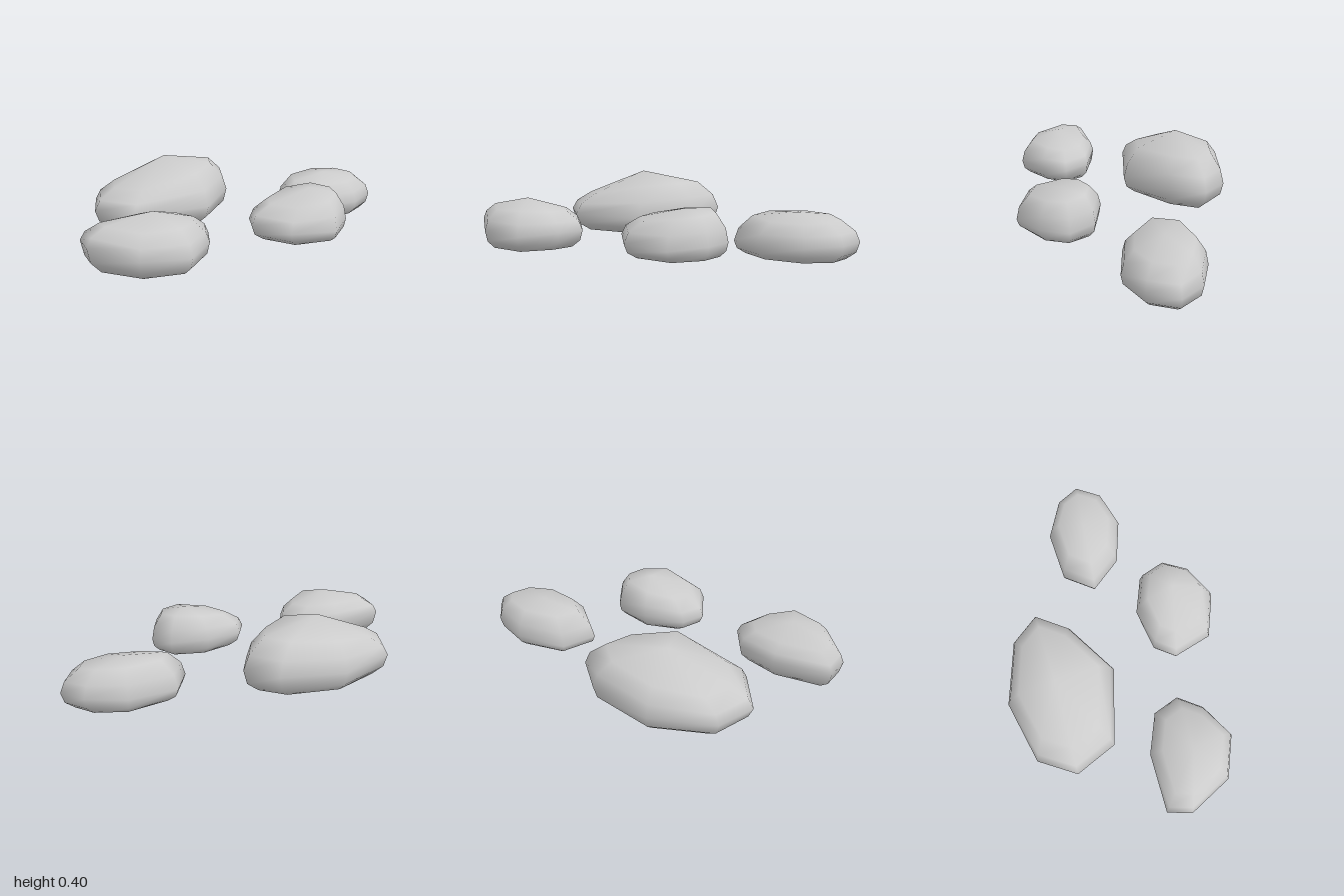
import * as THREE from 'three';

// Each stone: underside height, apex [x, y, z], and an eight-point outline
// going round from the back: [x, z, height of widest edge, height of shoulder].
const STONES = [
  {
    name: 'largeStone', floor: 0.065, apex: [-0.355, 0.395, 0.2], shoulder: 0.73,
    outline: [[-0.36, -0.24, 0.19, 0.335], [-0.2, -0.12, 0.18, 0.335], [-0.035, 0.16, 0.16, 0.325], [-0.15, 0.55, 0.16, 0.27],
      [-0.37, 0.64, 0.16, 0.265], [-0.55, 0.52, 0.17, 0.27], [-0.62, 0.19, 0.17, 0.31], [-0.51, -0.13, 0.18, 0.33]],
  },
  {
    name: 'frontStone', floor: 0.05, apex: [0.21, 0.298, 0.7], shoulder: 0.72,
    outline: [[0.24, 0.4, 0.14, 0.235], [0.355, 0.49, 0.14, 0.24], [0.45, 0.67, 0.13, 0.25], [0.355, 0.88, 0.14, 0.245],
      [0.12, 0.99, 0.17, 0.255], [0, 0.95, 0.17, 0.25], [0.01, 0.65, 0.16, 0.25], [0.1, 0.45, 0.15, 0.24]],
  },
  {
    name: 'sideStone', floor: 0.06, apex: [0.39, 0.29, -0.16], shoulder: 0.7,
    outline: [[0.4, -0.36, 0.13, 0.27], [0.53, -0.28, 0.13, 0.265], [0.615, -0.1, 0.12, 0.255], [0.52, 0.12, 0.13, 0.235],
      [0.31, 0.18, 0.14, 0.235], [0.21, 0.1, 0.14, 0.245], [0.18, -0.12, 0.15, 0.27], [0.26, -0.31, 0.14, 0.28]],
  },
  {
    name: 'backStone', floor: 0, apex: [0.04, 0.23, -0.68], shoulder: 0.7,
    outline: [[0.08, -1, 0.09, 0.2], [0.21, -0.91, 0.09, 0.195], [0.26, -0.72, 0.08, 0.19], [0.18, -0.49, 0.07, 0.19],
      [0.01, -0.36, 0.065, 0.205], [-0.14, -0.48, 0.065, 0.215], [-0.15, -0.75, 0.08, 0.22], [-0.05, -0.93, 0.09, 0.215]],
  },
];

function stoneGeometry({ floor, apex, shoulder, outline }) {
  const n = outline.length;
  const [cx, top, cz] = apex;
  const lerp = THREE.MathUtils.lerp;
  // Cross-sections from the underside up: [scale about the apex, height rule]
  const rings = [
    [0.8, () => floor],
    [0.95, (mid) => lerp(floor, mid, 0.4)],
    [1, (mid) => mid],
    [0.93, (mid, high) => lerp(mid, high, 0.5)],
    [shoulder, (mid, high) => high],
  ];
  const points = [];
  for (const [scale, height] of rings) {
    for (const [x, z, mid, high] of outline) {
      points.push(lerp(cx, x, scale), height(mid, high), lerp(cz, z, scale));
    }
  }
  const bottomCentre = points.length / 3;
  points.push(cx, floor, cz, cx, top, cz);

  const faces = [];
  const last = (rings.length - 1) * n;
  for (let i = 0; i < n; i++) {
    const j = (i + 1) % n;
    for (let r = 0; r < last; r += n) {
      faces.push(r + i, r + n + i, r + j, r + j, r + n + i, r + n + j);
    }
    faces.push(bottomCentre, i, j, bottomCentre + 1, last + j, last + i);
  }
  const geometry = new THREE.BufferGeometry();
  geometry.setAttribute('position', new THREE.Float32BufferAttribute(points, 3));
  geometry.setIndex(faces);
  geometry.computeVertexNormals();
  return geometry;
}

export function createModel() {
  const group = new THREE.Group();
  group.name = 'steppingStones';
  const material = new THREE.MeshStandardMaterial({ color: 0xcccccc });
  for (const stone of STONES) {
    const mesh = new THREE.Mesh(stoneGeometry(stone), material);
    mesh.name = stone.name;
    group.add(mesh);
  }
  return group;
}
